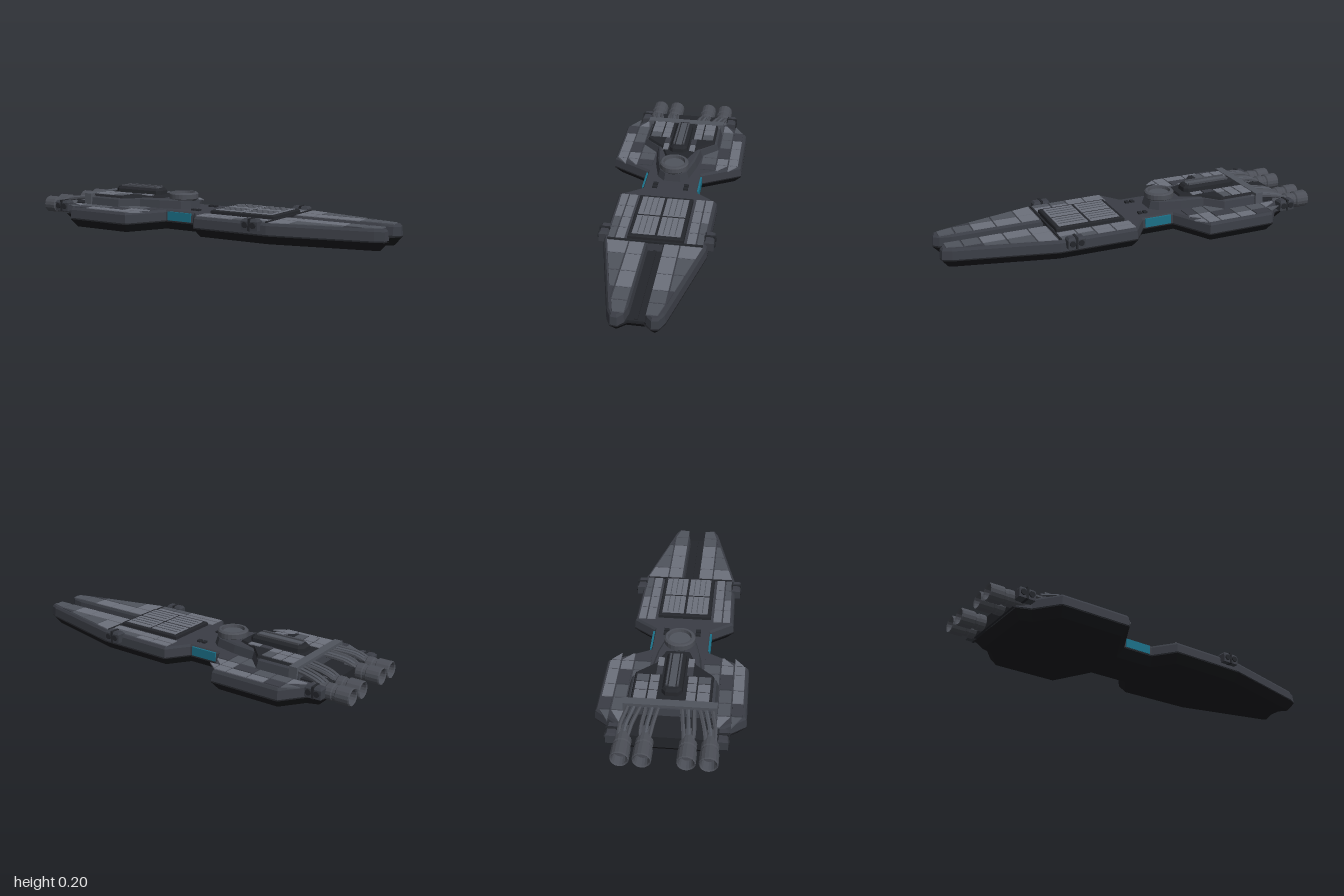
import * as THREE from 'three';

const mat = (color, side = THREE.FrontSide) => new THREE.MeshStandardMaterial({ color, flatShading: true, side });
const M = {
  hull: mat(0x3a3d45), dark: mat(0x24262b), belly: mat(0x1b1c20), light: mat(0x6c707b),
  mid: mat(0x50545d), metal: mat(0x4b4e56, THREE.DoubleSide), teal: mat(0x1b7088),
};

// Outlines are [x, z] points; half outlines run from nose to tail and are mirrored.
const mirror = (half) => [...half, ...half.map(([x, z]) => [x, -z]).reverse()];

// Moves a closed counter-clockwise outline inwards by d with mitred corners.
function inset(pts, d) {
  const n = pts.length;
  return pts.map((p, i) => {
    const a = pts[(i + n - 1) % n], b = pts[(i + 1) % n];
    const d1 = new THREE.Vector2(p[0] - a[0], p[1] - a[1]).normalize();
    const d2 = new THREE.Vector2(b[0] - p[0], b[1] - p[1]).normalize();
    const k = d / Math.max(0.35, 1 + d1.dot(d2));
    return [p[0] - (d1.y + d2.y) * k, p[1] + (d1.x + d2.x) * k];
  });
}

// Solid stacked from levels [y, inset] of one outline, capped at both ends.
function loft(outline, levels) {
  let pts = outline.map(([x, z]) => [x, -z]);
  if (THREE.ShapeUtils.isClockWise(pts.map(([x, y]) => new THREE.Vector2(x, y)))) pts = pts.reverse();
  const rings = levels.map(([y, d]) => inset(pts, d).map(([x, v]) => [x, y, -v]));
  const out = [], n = pts.length;
  const tri = (a, b, c) => out.push(...a, ...b, ...c);
  for (let r = 0; r + 1 < rings.length; r++) {
    for (let i = 0; i < n; i++) {
      const j = (i + 1) % n, lo = rings[r], hi = rings[r + 1];
      tri(lo[i], lo[j], hi[j]);
      tri(lo[i], hi[j], hi[i]);
    }
  }
  const cap = (ring, up) => {
    const flat = ring.map((p) => new THREE.Vector2(p[0], -p[2]));
    for (const [a, b, c] of THREE.ShapeUtils.triangulateShape(flat, [])) {
      if (up) tri(ring[a], ring[b], ring[c]);
      else tri(ring[c], ring[b], ring[a]);
    }
  };
  cap(rings[0], false);
  cap(rings[rings.length - 1], true);
  const g = new THREE.BufferGeometry();
  g.setAttribute('position', new THREE.Float32BufferAttribute(out, 3));
  g.computeVertexNormals();
  return g;
}

// Hull side from the nose to the tail, shared by both hull halves.
const SIDE = [[0.985, 0.11], [0.94, 0.133], [0.44, 0.255], [0.03, 0.262], [-0.05, 0.15], [-0.22, 0.15],
  [-0.33, 0.355], [-0.70, 0.355], [-0.79, 0.235], [-0.86, 0.21]];
function sideAt(x) {
  for (let i = 0; i + 1 < SIDE.length; i++) {
    const [x0, z0] = SIDE[i], [x1, z1] = SIDE[i + 1];
    if (x <= x0 && x >= x1) return z0 + (z1 - z0) * (x0 - x) / (x0 - x1);
  }
  return 0.1;
}

export function createModel() {
  const model = new THREE.Group();
  const add = (name, geo, material, x = 0, y = 0, z = 0, parent = model) => {
    const m = new THREE.Mesh(geo, material);
    m.name = name;
    m.position.set(x, y, z);
    parent.add(m);
    return m;
  };
  const box = (name, material, x0, x1, y0, y1, z0, z1) =>
    add(name, new THREE.BoxGeometry(x1 - x0, y1 - y0, Math.abs(z1 - z0)), material,
      (x0 + x1) / 2, (y0 + y1) / 2, (z0 + z1) / 2);
  const rect = (x0, x1, z0, z1) => [[x0, z0], [x1, z0], [x1, z1], [x0, z1]];

  // Lower hull, a continuous tray with a shallow notch at the nose
  add('lowerHull', loft(mirror([[0.955, 0.035], [0.99, 0.075], ...SIDE]), [[0, 0.035], [0.043, 0]]), M.belly);
  add('hullSeam', loft(mirror([[0.955, 0.035], [0.99, 0.075], ...SIDE]), [[0.043, 0.008], [0.052, 0.008]]), M.dark);

  // Upper hull, forked into two prongs at the bow
  add('upperHull', loft(mirror([[0.43, 0.036], [0.90, 0.036], [0.96, 0.048], [0.99, 0.075], ...SIDE]),
    [[0.05, 0], [0.093, 0.004], [0.105, 0.012]]), M.hull);
  box('bowChannelRib', M.dark, 0.43, 0.94, 0.05, 0.058, -0.008, 0.008);

  // Deck plates: grid cells trimmed to the hull side
  const tones = [M.light, M.mid, M.light, M.light, M.hull, M.light, M.mid];
  const plates = new THREE.Group();
  plates.name = 'deckPlates';
  model.add(plates);
  function plateGrid(xs, zs, y, seed, trim = true) {
    const gap = 0.003;
    for (let i = 0; i + 1 < xs.length; i++) for (let j = 0; j + 1 < zs.length; j++) {
      const x0 = xs[i] + gap, x1 = xs[i + 1] - gap, z0 = zs[j] + gap;
      const lim = (x) => (trim ? Math.min(zs[j + 1] - gap, sideAt(x) - 0.02) : zs[j + 1] - gap);
      const za = Math.max(lim(x0), z0 + 0.002), zb = Math.max(lim(x1), z0 + 0.002);
      if (za + zb - 2 * z0 < 0.02) continue;
      const tone = tones[(i * 5 + j * 3 + seed) % tones.length];
      for (const s of [1, -1]) {
        add('deckPlate', loft([[x0, z0 * s], [x1, z0 * s], [x1, zb * s], [x0, za * s]],
          [[y - 0.002, 0], [y + 0.004, 0.001]]), tone, 0, 0, 0, plates);
      }
    }
  }
  plateGrid([0.44, 0.54, 0.67, 0.79, 0.88, 0.965], [0.045, 0.125, 0.25], 0.105, 0);
  plateGrid([0.03, 0.14, 0.24, 0.33, 0.43], [0.15, 0.20, 0.25], 0.105, 2);
  plateGrid([-0.78, -0.70, -0.61, -0.515, -0.40, -0.33, -0.27], [0.215, 0.28, 0.34], 0.105, 3);
  plateGrid([-0.49, -0.40, -0.33, -0.27], [0.13, 0.215], 0.105, 1);

  // Cargo hatch on the foredeck
  add('hatchFrame', loft(rect(0.05, 0.42, -0.14, 0.14), [[0.10, 0], [0.12, 0.002], [0.125, 0.006]]), M.dark);
  for (const [x0, x1] of [[0.07, 0.23], [0.24, 0.40]]) for (const s of [1, -1]) {
    add('hatchDoor', loft(rect(x0, x1, 0.005 * s, 0.122 * s), [[0.12, 0], [0.128, 0.002]]), M.light);
    for (let k = 1; k < 4; k++) {
      const z = s * (0.005 + k * 0.029);
      box('hatchRib', M.mid, x0 + 0.01, x1 - 0.01, 0.126, 0.1305, z - 0.002, z + 0.002);
    }
  }
  box('foredeckSeam', M.dark, 0.425, 0.435, 0.10, 0.111, -0.235, 0.235);

  // Neck windows and fittings
  for (const s of [1, -1]) {
    box('neckWindow', M.teal, -0.208, -0.062, 0.052, 0.098, 0.10 * s, 0.153 * s);
    for (const x of [-0.10, -0.07]) box('neckFitting', M.dark, x, x + 0.02, 0.10, 0.114, 0.07 * s, 0.095 * s);
  }

  // Aft superstructure, narrowing forward to the turret
  add('superstructure', loft(mirror([[-0.13, 0.045], [-0.17, 0.085], [-0.29, 0.115], [-0.41, 0.13], [-0.49, 0.215],
    [-0.73, 0.215]]), [[0.10, 0], [0.145, 0.013], [0.152, 0.022]]), M.hull);
  add('upperDeck', loft(mirror([[-0.30, 0.06], [-0.40, 0.10], [-0.48, 0.19], [-0.70, 0.19]]),
    [[0.15, 0], [0.163, 0.006]]), M.dark);
  plateGrid([-0.675, -0.61, -0.55, -0.495], [0.065, 0.115, 0.18], 0.163, 2, false);
  plateGrid([-0.495, -0.43, -0.36], [0.055, 0.092], 0.163, 4, false);

  // Long spine housing with a ridged top
  const spine = mirror([[-0.34, 0.03], [-0.36, 0.05], [-0.62, 0.05], [-0.645, 0.03]]);
  add('spineHousing', loft(spine, [[0.16, 0], [0.183, 0.003], [0.195, 0.014]]), M.dark);
  box('spineSlot', M.mid, -0.615, -0.37, 0.19, 0.20, -0.016, 0.016);
  for (const z of [-0.026, 0.026]) box('spineRail', M.metal, -0.61, -0.375, 0.19, 0.205, z - 0.004, z + 0.004);

  // Round turret ring
  const ring = [[0.068, 0.10], [0.066, 0.14], [0.078, 0.153], [0.078, 0.178], [0.071, 0.185], [0.059, 0.185],
    [0.056, 0.168], [0, 0.168]].map(([r, y]) => new THREE.Vector2(r, y));
  add('turretRing', new THREE.LatheGeometry(ring, 24), M.metal, -0.21, 0, 0);
  add('turretFloor', new THREE.CylinderGeometry(0.052, 0.052, 0.004, 24), M.mid, -0.21, 0.17, 0);

  // Crossbar over the engine pipes
  box('pipeCrossbar', M.mid, -0.718, -0.675, 0.153, 0.167, -0.218, 0.218);
  for (const s of [1, -1]) box('crossbarEnd', M.mid, -0.718, -0.675, 0.10, 0.16, 0.205 * s, 0.218 * s);

  // Engines with feed pipes
  const nozzle = [[0.022, -0.09], [0.036, -0.07], [0.036, -0.01], [0.041, -0.005], [0.041, 0.025], [0.037, 0.03],
    [0.037, 0.045], [0.044, 0.05], [0.044, 0.115], [0.040, 0.12], [0.035, 0.115], [0.03, 0.07], [0, 0.07]]
    .map(([r, y]) => new THREE.Vector2(r, y));
  for (const z of [-0.197, -0.098, 0.098, 0.197]) {
    add('engineNozzle', new THREE.LatheGeometry(nozzle, 16), M.metal, -0.88, 0.087, z).rotation.z = Math.PI / 2;
    for (const o of [-0.025, 0, 0.025]) {
      const path = new THREE.CatmullRomCurve3([[-0.66, 0.145, z * 0.8 + o * 1.3], [-0.74, 0.14, z * 0.88 + o * 1.1],
        [-0.82, 0.128, z * 0.97 + o], [-0.88, 0.10, z + o * 0.8]].map((p) => new THREE.Vector3(...p)));
      add('feedPipe', new THREE.TubeGeometry(path, 10, 0.010, 6), o ? M.metal : M.mid);
    }
  }
  box('engineMount', M.dark, -0.87, -0.72, 0.05, 0.112, -0.20, 0.20);

  // Side thruster pods, fore and aft on both sides
  function pod(x0, x1, zIn, zOut) {
    for (const s of [1, -1]) {
      add('thrusterPod', loft(rect(x0, x1, zIn * s, zOut * s), [[0.068, 0], [0.112, 0], [0.123, 0.008]]), M.hull);
      box('podBand', M.dark, (x0 + x1) / 2 - 0.006, (x0 + x1) / 2 + 0.006, 0.066, 0.126, zIn * s, (zOut + 0.003) * s);
      for (const t of [0.25, 0.75]) {
        add('podNozzle', new THREE.CylinderGeometry(0.015, 0.015, 0.012, 12), M.dark,
          x0 + (x1 - x0) * t, 0.094, zOut * s).rotation.x = Math.PI / 2;
      }
    }
  }
  pod(0.32, 0.41, 0.235, 0.284);
  pod(-0.88, -0.795, 0.225, 0.277);

  return model;
}
